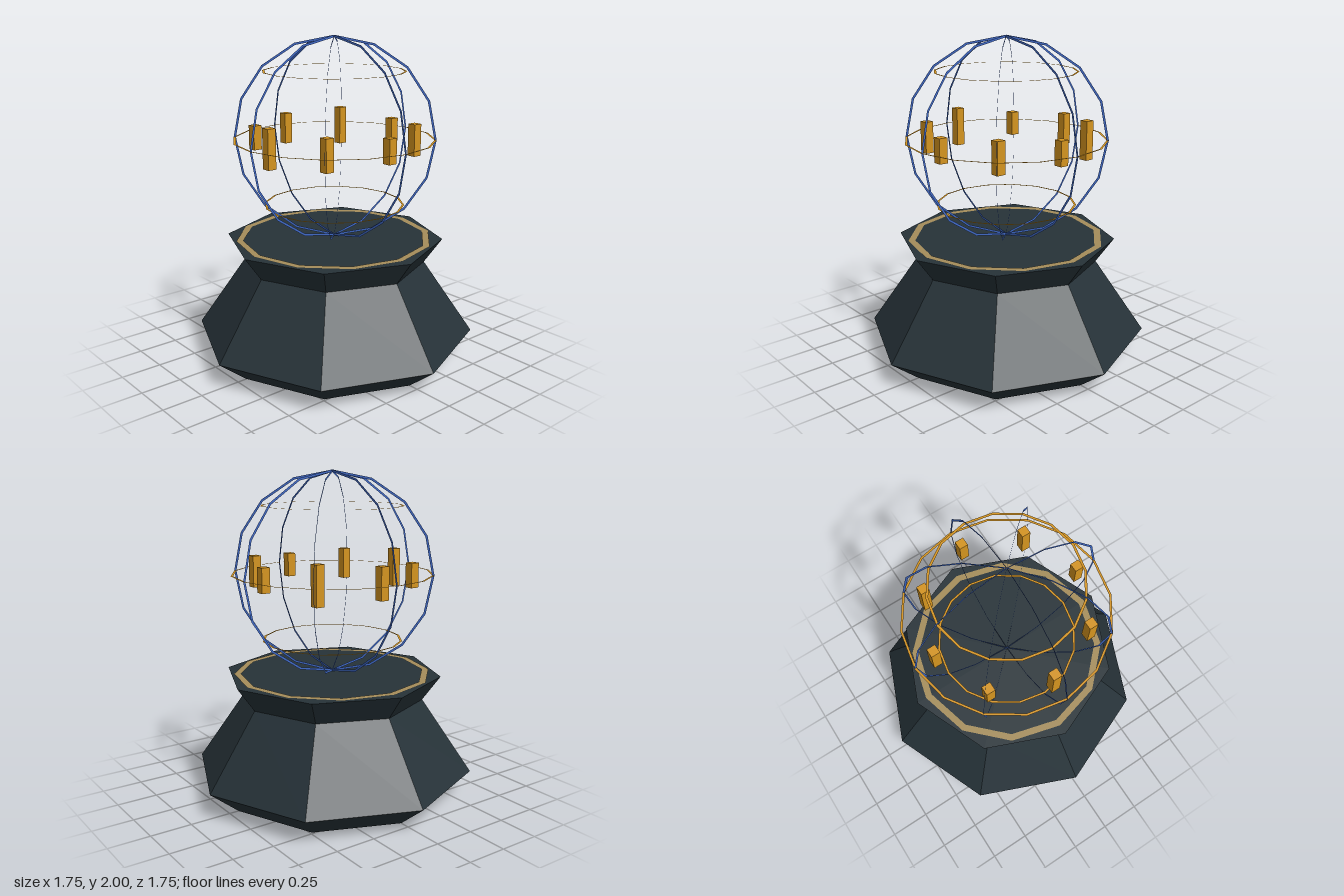
import * as THREE from 'three';

export function createModel() {
  const model = new THREE.Group();
  model.name = 'globeOnPedestal';

  const mat = (name, color, opts = {}) => {
    const m = new THREE.MeshStandardMaterial({ color, flatShading: true, ...opts });
    m.name = name;
    return m;
  };
  const slate = mat('darkSlate', 0x263238);
  const gold = mat('gold', 0xd4941f, { side: THREE.DoubleSide });
  const blue = mat('blue', 0x3f68c4, { side: THREE.DoubleSide });
  const tan = mat('dullGold', 0xa58d5a, { side: THREE.DoubleSide });

  const add = (name, geometry, material, y) => {
    const mesh = new THREE.Mesh(geometry, material);
    mesh.name = name;
    mesh.position.y = y;
    model.add(mesh);
    return mesh;
  };

  // Eight-sided pedestal with a waist and flared top
  const profile = [[0, 0], [0.69, 0], [0.875, 0.15], [0.565, 0.603], [0.675, 0.755], [0, 0.755]]
    .map(([r, y]) => new THREE.Vector2(r, y));
  add('pedestal', new THREE.LatheGeometry(profile, 8), slate, 0);

  // Flat inlay on the pedestal top
  add('topInlay', new THREE.RingGeometry(0.57, 0.612, 12).rotateX(-Math.PI / 2), tan, 0.758);

  // Globe cage: flat rings, four upright and three level
  const centre = 1.38, radius = 0.62, band = 0.014;
  const hoop = (r) => new THREE.RingGeometry(r - band, r, 16);
  for (let i = 0; i < 4; i++) {
    add('meridianRing', hoop(radius), blue, centre).rotation.y = i * Math.PI / 4;
  }
  for (const [r, dy] of [[0.434, -0.41], [radius, 0], [0.434, 0.41]]) {
    add('levelRing', hoop(r).rotateX(-Math.PI / 2), gold, centre + dy);
  }

  // Floating blocks in a circle, heights repeating in threes
  const heights = [0.15, 0.195, 0.24];
  for (let i = 0; i < 8; i++) {
    const a = i * Math.PI / 4;
    const block = add('floatingBlock', new THREE.BoxGeometry(0.055, heights[i % 3], 0.055), gold, centre);
    block.position.x = 0.486 * Math.cos(a);
    block.position.z = 0.486 * Math.sin(a);
  }

  return model;
}
